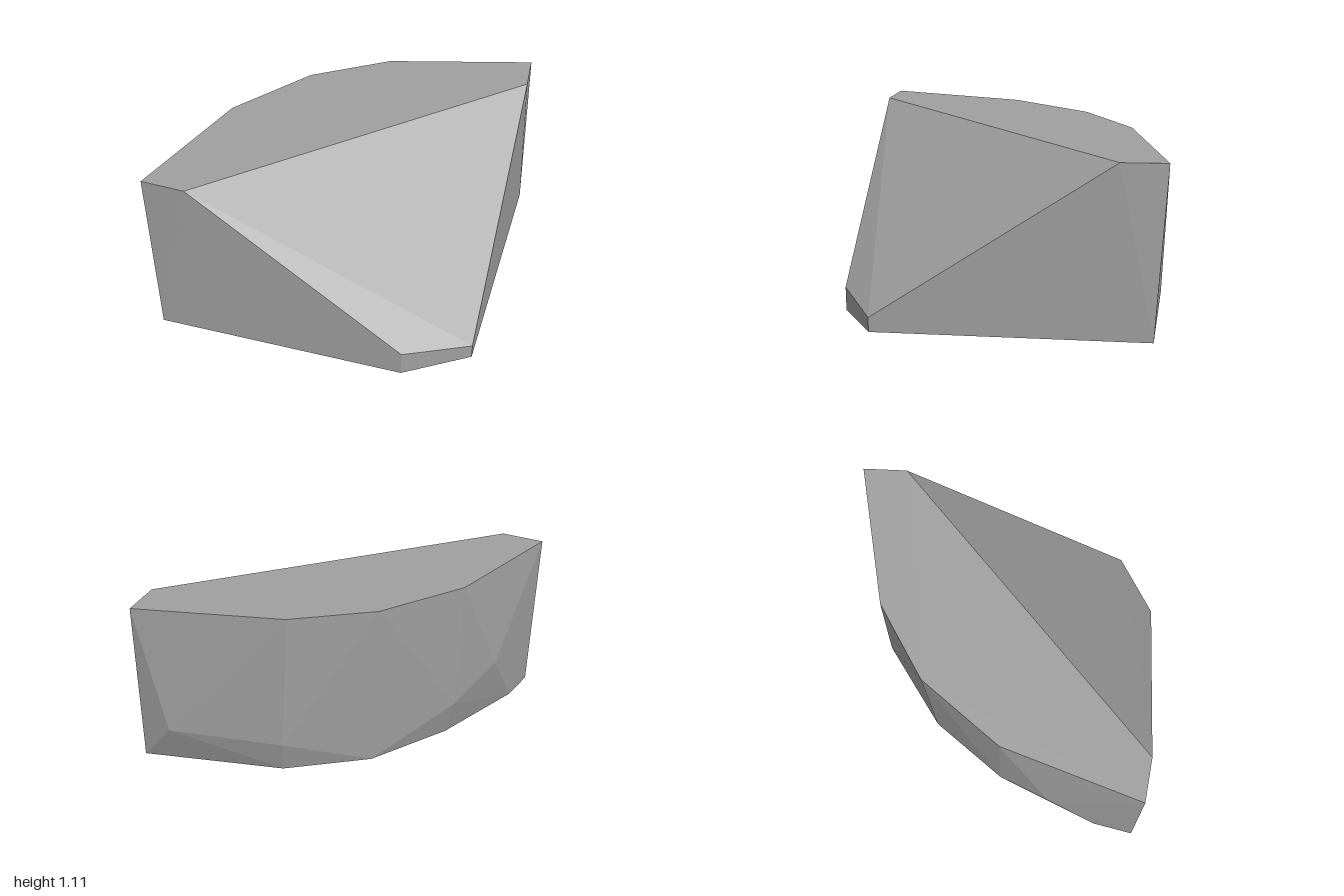
import * as THREE from 'three';
import { ConvexGeometry } from 'three/addons/geometries/ConvexGeometry.js';

// A faceted block of stone: rings of [x, y, z] corners joined by flat faces.
export function createModel() {
  const stone = new THREE.MeshStandardMaterial({ color: 0xa0a0a0 });
  stone.name = 'stone grey';

  const top = 1.11;
  // flat top, cut off diagonally at the front
  const topRing = [
    [-1, 0.98], [-0.72, 1], [1, -0.72], [0.98, -1],
    [0.06, -0.75], [-0.4, -0.43], [-0.76, 0.09],
  ].map(([x, z]) => [x, top, z]);

  // foot of the diagonal cut
  const cutFoot = [[0.61, 0.155, 1], [1, 0.11, 0.76]];

  // bulging corners along the rounded back
  const backBulge = [
    [0.79, 0.28, -0.97], [0.1, 0.22, -0.755],
    [-0.727, 0.26, 0.095], [-0.89, 0.44, 0.42],
  ];

  // nearly flat underside
  const bottomRing = [
    [-0.95, 0.035, 1], [0.61, 0, 1], [1, 0.018, 0.76], [1, 0.035, -0.94],
    [0.125, 0.016, -0.713], [-0.344, 0.016, -0.384],
    [-0.664, 0.02, 0.12], [-0.912, 0.03, 0.742],
  ];

  const corners = [...topRing, ...cutFoot, ...backBulge, ...bottomRing]
    .map((p) => new THREE.Vector3(...p));
  const rock = new THREE.Mesh(new ConvexGeometry(corners), stone);
  rock.name = 'rock';

  const group = new THREE.Group();
  group.name = 'stoneBlock';
  group.add(rock);
  return group;
}
